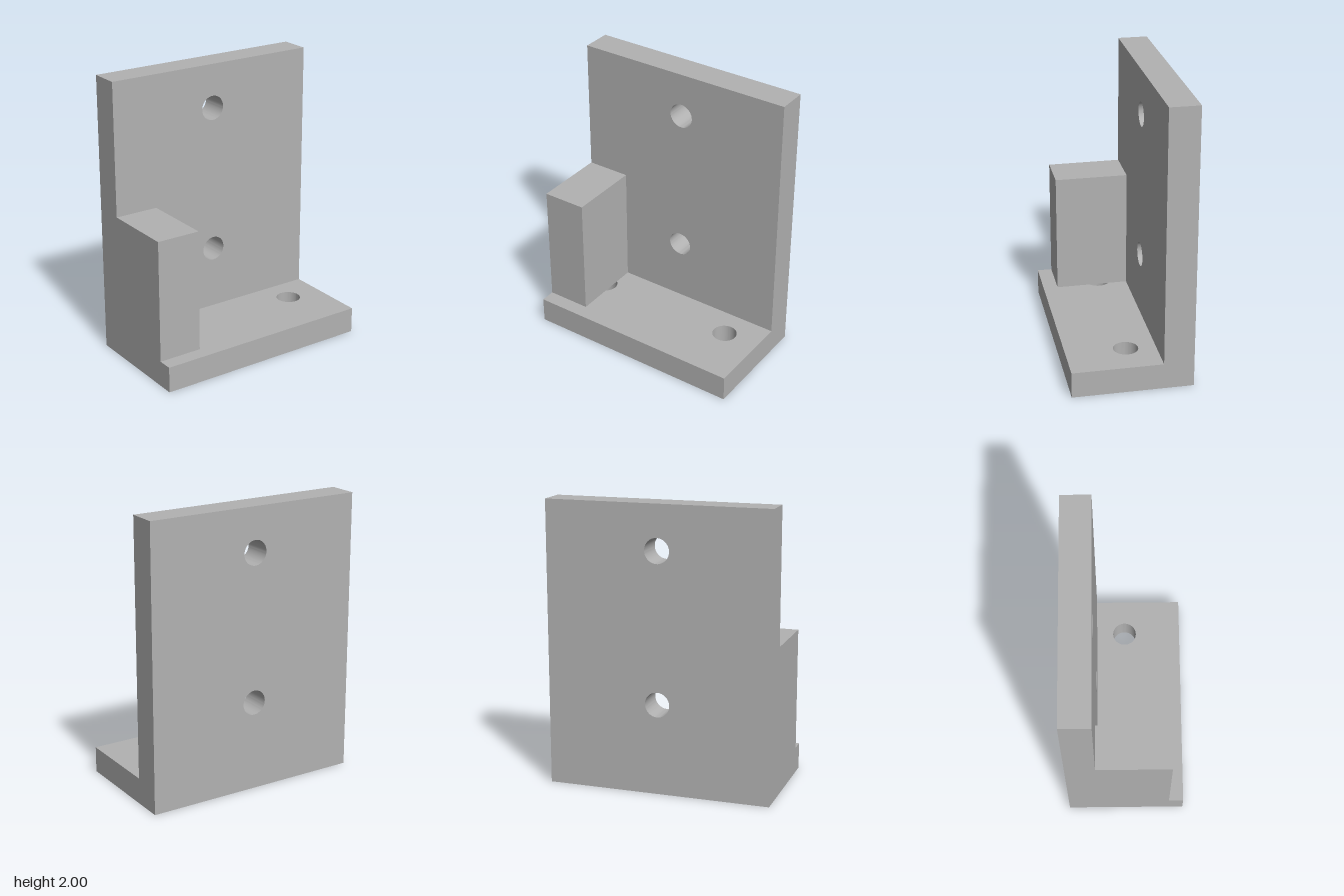
import * as THREE from 'three';
import { toCreasedNormals } from 'three/addons/utils/BufferGeometryUtils.js';

const HOLE_RADIUS = 0.087;
const HALF_DEPTH = 0.79;

// Rectangular plate with round through holes, extruded along +z
function drilledPlate(x0, y0, x1, y1, thickness, holes) {
  const shape = new THREE.Shape([
    new THREE.Vector2(x0, y0),
    new THREE.Vector2(x1, y0),
    new THREE.Vector2(x1, y1),
    new THREE.Vector2(x0, y1),
  ]);
  for (const [x, y] of holes) {
    shape.holes.push(new THREE.Path().absarc(x, y, HOLE_RADIUS, 0, Math.PI * 2, true));
  }
  const geometry = new THREE.ExtrudeGeometry(shape, {
    depth: thickness, bevelEnabled: false, curveSegments: 32,
  });
  return toCreasedNormals(geometry, 0.6);
}

export function createModel() {
  const group = new THREE.Group();
  group.name = 'angleBracket';
  const grey = new THREE.MeshStandardMaterial({ color: 0xb2b2b2 });
  grey.name = 'grey';

  function add(name, geometry) {
    const mesh = new THREE.Mesh(geometry, grey);
    mesh.name = name;
    group.add(mesh);
  }

  // Tall upright plate with two holes through x
  const wall = drilledPlate(-HALF_DEPTH, 0, HALF_DEPTH, 2, 0.21, [[0, 0.635], [0, 1.687]]);
  wall.rotateY(Math.PI / 2).translate(-0.42, 0, 0);
  add('uprightPlate', wall);

  // Foot plate with two holes through y
  const foot = drilledPlate(-0.21, -HALF_DEPTH, 0.42, HALF_DEPTH, 0.185, [[0, -0.527], [0, 0.527]]);
  foot.rotateX(-Math.PI / 2);
  add('footPlate', foot);

  // Stop block in the front corner, standing on the foot
  const block = new THREE.BoxGeometry(0.525, 0.868, 0.315);
  block.translate(0.0525, 0.185 + 0.434, HALF_DEPTH - 0.1575);
  add('stopBlock', block);

  return group;
}
